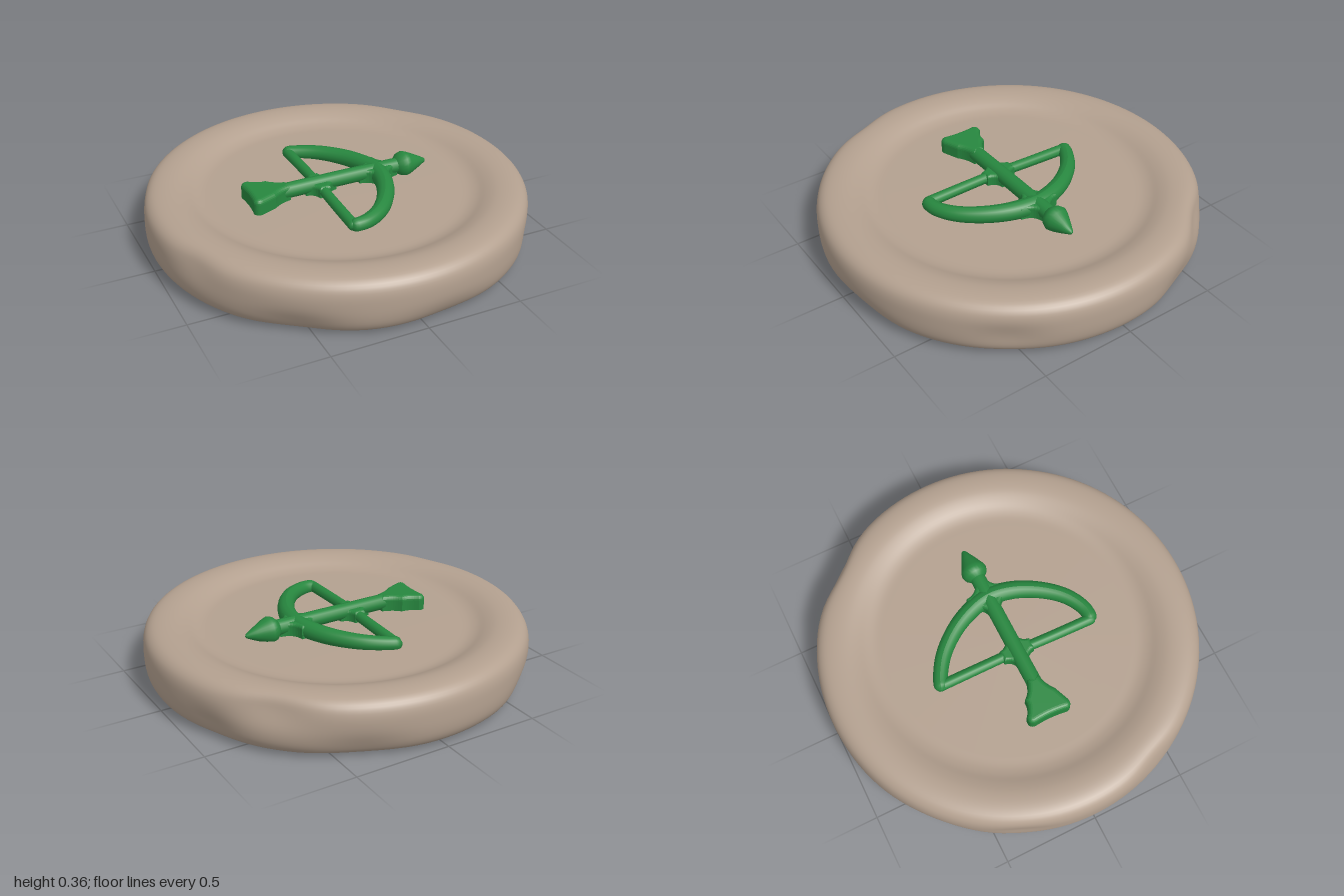
import * as THREE from 'three';

const stone = new THREE.MeshStandardMaterial({ color: 0xb3a08f });
const green = new THREE.MeshStandardMaterial({ color: 0x27873f });
const FLOOR = 0.25; // height of the recessed face

function addMesh(parent, name, geometry, material) {
  const mesh = new THREE.Mesh(geometry, material);
  mesh.name = name;
  parent.add(mesh);
  return mesh;
}

// Smooth rod along a curve: radius from mid to end value, with rounded ends
function rod(points, rMid, rEnd, segments = 64) {
  const path = new THREE.CatmullRomCurve3(points.map(p => new THREE.Vector3(...p)));
  const sides = 16;
  const geo = new THREE.TubeGeometry(path, segments, 1, sides, false);
  const pos = geo.attributes.position;
  const length = path.getLength();
  const v = new THREE.Vector3();
  for (let i = 0; i <= segments; i++) {
    const t = i / segments;
    const c = path.getPointAt(t);
    const base = THREE.MathUtils.lerp(rMid, rEnd, Math.abs(2 * t - 1));
    const k = Math.min(1, Math.min(t, 1 - t) * length / base);
    const r = base * Math.sqrt(1 - (1 - k) * (1 - k));
    for (let j = 0; j <= sides; j++) {
      const n = i * (sides + 1) + j;
      v.fromBufferAttribute(pos, n).sub(c).multiplyScalar(r).add(c);
      pos.setXYZ(n, v.x, v.y, v.z);
    }
  }
  geo.computeVertexNormals();
  return geo;
}

// Soft plate lying on the recessed face; shape is drawn in x and z
function plate(shape, top, bevel) {
  const geo = new THREE.ExtrudeGeometry(shape, {
    depth: top - FLOOR - bevel, bevelEnabled: true, bevelSize: bevel,
    bevelThickness: bevel, bevelOffset: -bevel, bevelSegments: 5, curveSegments: 8,
  });
  geo.rotateX(-Math.PI / 2);
  geo.translate(0, FLOOR, 0);
  return geo;
}

// Worn round stone, dished on both faces
function stoneDisc() {
  const controls = [
    [0.64, 0.05], [0.69, 0.047], [0.73, 0.032], [0.78, 0.01], [0.84, 0.001], [0.91, 0.004],
    [0.96, 0.022], [0.987, 0.06], [0.998, 0.11], [1, 0.17], [0.996, 0.225], [0.98, 0.266],
    [0.945, 0.293], [0.89, 0.303], [0.83, 0.299], [0.78, 0.283], [0.735, 0.262], [0.69, 0.251], [0.64, FLOOR],
  ].map(p => new THREE.Vector2(...p));
  const profile = [new THREE.Vector2(0, 0.05), ...new THREE.SplineCurve(controls).getPoints(54), new THREE.Vector2(0, FLOOR)];
  const geo = new THREE.LatheGeometry(profile, 128);

  // Shallow dents: angle from +x towards +z, height, angular width, depth
  const dents = [
    [2.2, 0.05, 0.2, 0.03], [1.45, 0.03, 0.22, 0.022], [0.62, 0.12, 0.16, 0.02],
    [-0.72, 0.24, 0.18, 0.035], [-0.4, 0.08, 0.16, 0.02], [-1.15, 0.05, 0.2, 0.025],
    [-2.3, 0.05, 0.2, 0.025], [2.75, 0.25, 0.14, 0.018], [-2.75, 0.16, 0.15, 0.015],
  ];
  const pos = geo.attributes.position;
  for (let i = 0; i < pos.count; i++) {
    const x = pos.getX(i), y = pos.getY(i), z = pos.getZ(i);
    const edge = THREE.MathUtils.smoothstep(Math.hypot(x, z), 0.85, 0.97);
    const a = Math.atan2(z, x);
    let push = 0;
    for (const [angle, height, width, depth] of dents) {
      const d = Math.atan2(Math.sin(a - angle), Math.cos(a - angle)) / width;
      const h = (y - height) / 0.08;
      push += depth * Math.exp(-d * d - h * h);
    }
    const s = 1 - push * edge;
    pos.setXYZ(i, x * s, y, z * s);
  }
  geo.computeVertexNormals();
  // Join the shading across the lathe seam
  const n = geo.attributes.normal, row = profile.length;
  for (let j = 0; j < row; j++) {
    const k = 128 * row + j;
    const m = new THREE.Vector3().fromBufferAttribute(n, j).add(new THREE.Vector3().fromBufferAttribute(n, k)).normalize();
    n.setXYZ(j, m.x, m.y, m.z);
    n.setXYZ(k, m.x, m.y, m.z);
  }
  return geo;
}

// Filleted four-way joint where two bars cross
function joint(x, z, r, top) {
  const s = new THREE.Shape();
  const w = 0.03;
  s.moveTo(r, -w);
  for (let i = 0; i < 4; i++) {
    const c = Math.cos(i * Math.PI / 2), d = Math.sin(i * Math.PI / 2);
    const at = (u, v) => [u * c - v * d, u * d + v * c];
    s.lineTo(...at(r, w));
    s.quadraticCurveTo(...at(w * 1.2, w * 1.2), ...at(w, r));
  }
  return plate(s, top, 0.018).translate(x, 0, z);
}

export function createModel() {
  const model = new THREE.Group();
  addMesh(model, 'stoneDisc', stoneDisc(), stone);

  const bow = new THREE.Group();
  bow.name = 'bow';
  model.add(bow);
  addMesh(bow, 'bowLimbs', rod([
    [-0.12, 0.268, -0.435], [-0.06, 0.27, -0.415], [0.05, 0.275, -0.345], [0.15, 0.28, -0.23], [0.21, 0.284, -0.11],
    [0.235, 0.285, 0], [0.215, 0.284, 0.13], [0.15, 0.28, 0.265], [0.06, 0.275, 0.37], [-0.04, 0.27, 0.425], [-0.13, 0.268, 0.43],
  ], 0.05, 0.036, 96), green);
  addMesh(bow, 'bowString', rod([
    [-0.09, 0.268, -0.46], [-0.094, 0.275, -0.2], [-0.098, 0.28, 0], [-0.104, 0.275, 0.2], [-0.108, 0.268, 0.455],
  ], 0.027, 0.029), green);

  const arrow = new THREE.Group();
  arrow.name = 'arrow';
  model.add(arrow);
  addMesh(arrow, 'arrowShaft', rod([[-0.42, 0.29, 0.005], [0, 0.292, 0], [0.42, 0.292, -0.002]], 0.041, 0.041), green);

  // Pointed head, dipping towards the face
  const headProfile = [[0, -0.06], [0.035, -0.052], [0.062, -0.025], [0.07, 0], [0.062, 0.025], [0.036, 0.08], [0.012, 0.128], [0, 0.136]]
    .map(p => new THREE.Vector2(...p));
  const head = addMesh(arrow, 'arrowHead', new THREE.LatheGeometry(headProfile, 24), green);
  head.rotation.z = -Math.PI / 2 - 0.03;
  head.position.set(0.395, 0.291, -0.003);

  // Flared tail feathers; shape y is the model's -z
  const tail = new THREE.Shape();
  tail.moveTo(-0.27, 0.03);
  tail.quadraticCurveTo(-0.33, 0.045, -0.36, 0.085);
  tail.quadraticCurveTo(-0.4, 0.08, -0.445, 0.118);
  tail.quadraticCurveTo(-0.485, 0.128, -0.49, 0.09);
  tail.quadraticCurveTo(-0.478, 0, -0.494, -0.09);
  tail.quadraticCurveTo(-0.485, -0.122, -0.45, -0.112);
  tail.lineTo(-0.37, -0.08);
  tail.quadraticCurveTo(-0.33, -0.045, -0.27, -0.035);
  addMesh(arrow, 'arrowTail', plate(tail, 0.332, 0.025), green);

  // Fillets where the arrow crosses the string and the bow
  addMesh(model, 'stringJoint', joint(-0.098, 0.002, 0.085, 0.31), green);
  addMesh(model, 'bowJoint', joint(0.235, 0, 0.11, 0.32), green);
  return model;
}
